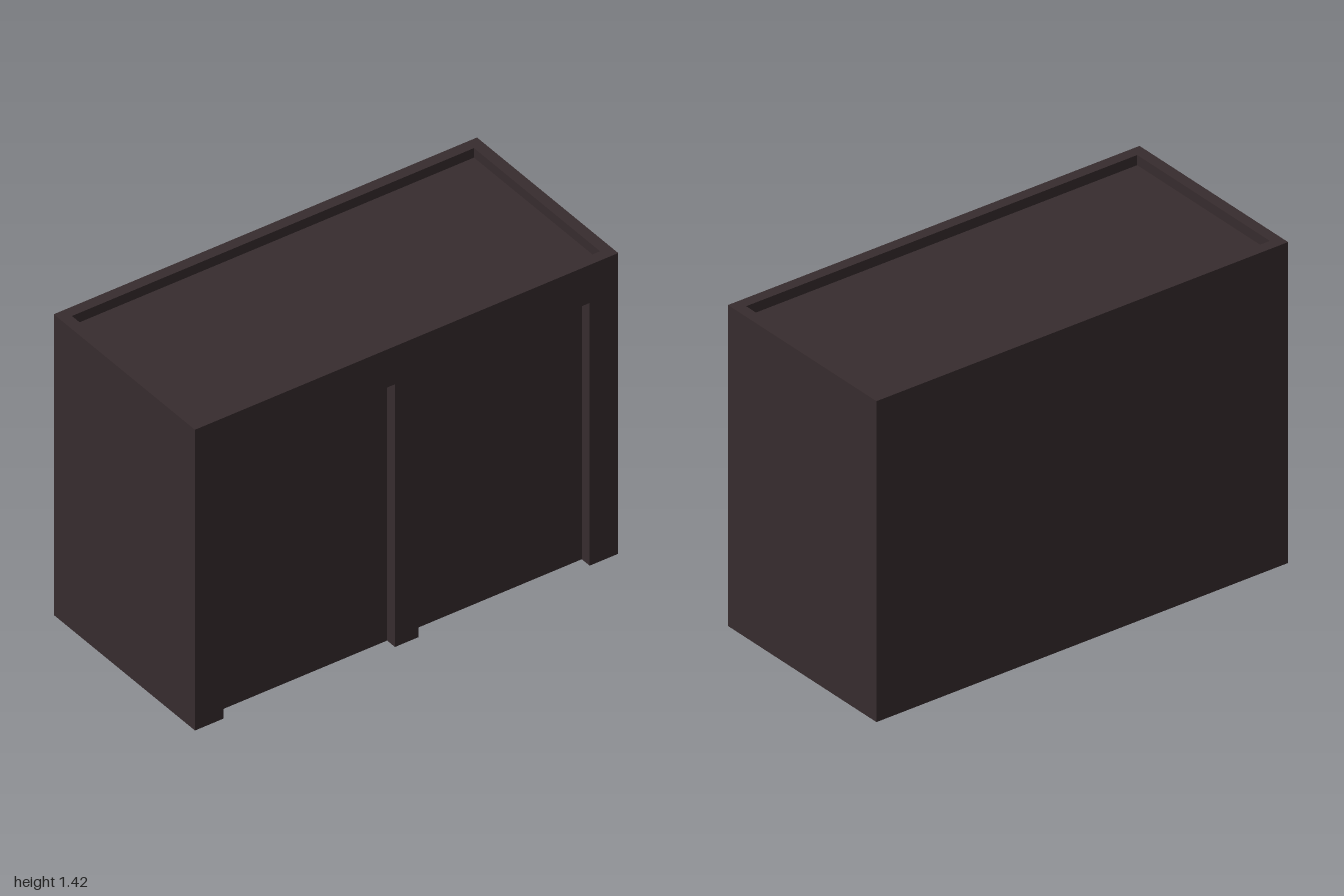
import * as THREE from 'three';

const W = 1, D = 0.467, H = 1.425;          // half width, half depth, height
const RIM = 0.05, ROOF_Y = 1.38;            // parapet thickness and roof level
const DOOR_IN = 0.055, DOOR_OUT = 0.865, DOOR_H = 1.245, DOOR_Z = 0.415;

export function createModel() {
  const model = new THREE.Group();
  model.name = 'garage';
  const paint = new THREE.MeshStandardMaterial({ color: 0x372c2e, side: THREE.DoubleSide });
  paint.name = 'dark brown';

  const add = (name, geometry, position, rx = 0, ry = 0, parent = model) => {
    const mesh = new THREE.Mesh(geometry, paint);
    mesh.name = name;
    mesh.position.set(...position);
    mesh.rotation.set(rx, ry, 0);
    parent.add(mesh);
  };
  const panel = (name, w, h, position, rx, ry, parent) =>
    add(name, new THREE.PlaneGeometry(w, h), position, rx, ry, parent);
  const rect = (Type, x, y) => new Type([[-x, -y], [x, -y], [x, y], [-x, y]]
    .map(p => new THREE.Vector2(...p)));

  // Thin outer walls, open underneath
  panel('backWall', 2 * W, H, [0, H / 2, -D], 0, Math.PI);
  for (const s of [-1, 1])
    panel(s > 0 ? 'leftWall' : 'rightWall', 2 * D, H, [s * W, H / 2, 0], 0, s * Math.PI / 2);

  // Front wall outline stepping around the two doorways
  const front = new THREE.Shape([
    [-W, 0], [-DOOR_OUT, 0], [-DOOR_OUT, DOOR_H], [-DOOR_IN, DOOR_H], [-DOOR_IN, 0],
    [DOOR_IN, 0], [DOOR_IN, DOOR_H], [DOOR_OUT, DOOR_H], [DOOR_OUT, 0], [W, 0], [W, H], [-W, H],
  ].map(p => new THREE.Vector2(...p)));
  add('frontWall', new THREE.ShapeGeometry(front), [0, 0, D]);

  // Recessed doors with their reveals
  const doorW = DOOR_OUT - DOOR_IN, depth = D - DOOR_Z, midZ = (D + DOOR_Z) / 2;
  for (const s of [-1, 1]) {
    const door = new THREE.Group();
    door.name = s > 0 ? 'leftDoorway' : 'rightDoorway';
    door.position.x = s * (DOOR_IN + DOOR_OUT) / 2;
    model.add(door);
    panel('door', doorW, DOOR_H, [0, DOOR_H / 2, DOOR_Z], 0, 0, door);
    panel('doorSoffit', doorW, depth, [0, DOOR_H, midZ], Math.PI / 2, 0, door);
    for (const e of [-1, 1])
      panel('doorReveal', depth, DOOR_H, [e * doorW / 2, DOOR_H / 2, midZ], 0, -e * Math.PI / 2, door);
  }

  // Parapet rim around the sunken flat roof
  const inX = W - RIM, inZ = D - RIM, lip = H - ROOF_Y, lipY = (H + ROOF_Y) / 2;
  const rim = rect(THREE.Shape, W, D);
  rim.holes.push(rect(THREE.Path, inX, inZ));
  add('parapetTop', new THREE.ShapeGeometry(rim), [0, H, 0], -Math.PI / 2);
  panel('roof', 2 * inX, 2 * inZ, [0, ROOF_Y, 0], -Math.PI / 2);
  for (const s of [-1, 1]) {
    panel('parapetInnerSide', 2 * inZ, lip, [s * inX, lipY, 0], 0, -s * Math.PI / 2);
    panel('parapetInnerLong', 2 * inX, lip, [0, lipY, s * inZ], 0, s > 0 ? Math.PI : 0);
  }
  return model;
}
